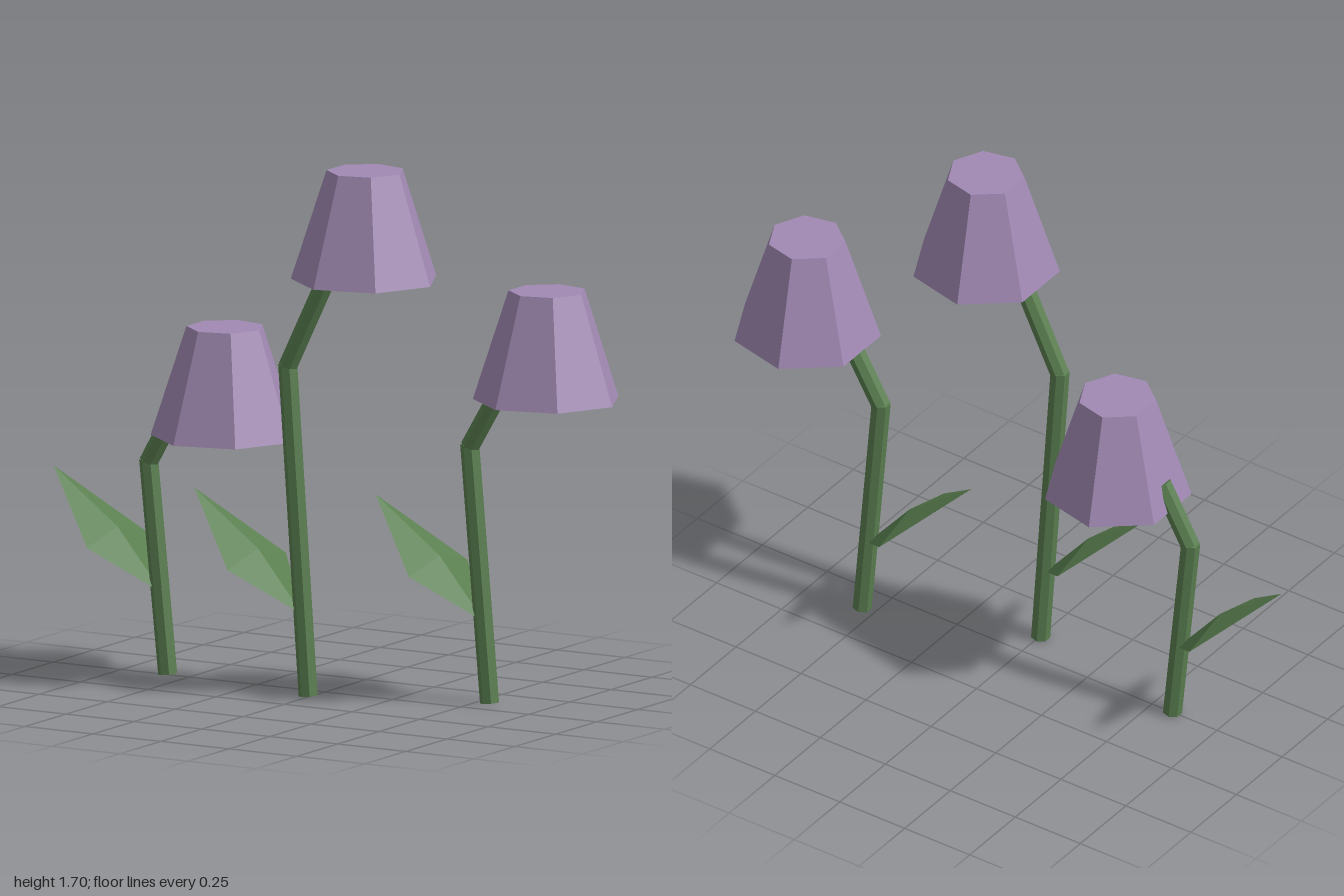
import * as THREE from 'three';

const petalPurple = new THREE.MeshStandardMaterial({ color: 0xa189b3 });
petalPurple.name = 'petalPurple';
petalPurple.flatShading = true;
const stemGreen = new THREE.MeshStandardMaterial({ color: 0x5a7f50 });
stemGreen.name = 'stemGreen';
stemGreen.flatShading = true;
const leafGreen = new THREE.MeshStandardMaterial({ color: 0x5a7f50, side: THREE.DoubleSide });
leafGreen.name = 'leafGreen';
leafGreen.flatShading = true;

const SIDES = 7;

// Straight seven-sided rod between two points in the flower's xy plane
function rod(name, x0, y0, x1, y1) {
  const dx = x1 - x0, dy = y1 - y0;
  const geo = new THREE.CylinderGeometry(0.031, 0.031, Math.hypot(dx, dy), SIDES, 1, false, Math.PI / 2);
  const mesh = new THREE.Mesh(geo, stemGreen);
  mesh.name = name;
  mesh.position.set((x0 + x1) / 2, (y0 + y1) / 2, 0);
  mesh.rotation.z = -Math.atan2(dx, dy);
  return mesh;
}

// Diamond leaf, folded along its spine: tip, two side corners, base, raised middle
function leaf() {
  const tip = [-0.42, 0.63, 0], base = [-0.02, 0.26, 0], mid = [-0.185, 0.457, 0];
  const front = [-0.19, 0.415, 0.178], back = [-0.19, 0.415, -0.178];
  const faces = [tip, front, mid, front, base, mid, base, back, mid, back, tip, mid];
  const geo = new THREE.BufferGeometry();
  geo.setAttribute('position', new THREE.Float32BufferAttribute(faces.flat(), 3));
  geo.computeVertexNormals();
  const mesh = new THREE.Mesh(geo, leafGreen);
  mesh.name = 'leaf';
  return mesh;
}

// One flower: leaning stem, bent neck, closed bell and a leaf, all relative to the foot
function flower({ name, x, z, bend, neckEnd, bell }) {
  const g = new THREE.Group();
  g.name = name;
  g.position.set(x, 0, z);
  const [bx, by] = bend, [nx, ny] = neckEnd, [cx, cy] = bell;
  g.add(rod('stem', 0, 0.003, bx, by));
  g.add(rod('neck', bx, by - 0.01, nx, ny));
  const head = new THREE.Mesh(
    new THREE.CylinderGeometry(0.124, 0.237, 0.35, SIDES, 1, false, Math.PI / 2), petalPurple);
  head.name = 'bell';
  head.position.set(cx, cy + 0.175, 0);
  g.add(head, leaf());
  return g;
}

export function createModel() {
  const model = new THREE.Group();
  model.name = 'bellFlowers';
  const flowers = [
    { name: 'shortFlower', x: -0.578, z: 0, bend: [-0.07, 0.685], neckEnd: [0.04, 0.87], bell: [0.212, 0.785] },
    { name: 'tallFlower', x: -0.003, z: 0.0965, bend: [-0.075, 1.06], neckEnd: [0.105, 1.42], bell: [0.211, 1.355] },
    { name: 'mediumFlower', x: 0.548, z: -0.0965, bend: [-0.073, 0.825], neckEnd: [0.06, 1.04], bell: [0.213, 0.992] },
  ];
  for (const f of flowers) model.add(flower(f));
  return model;
}
